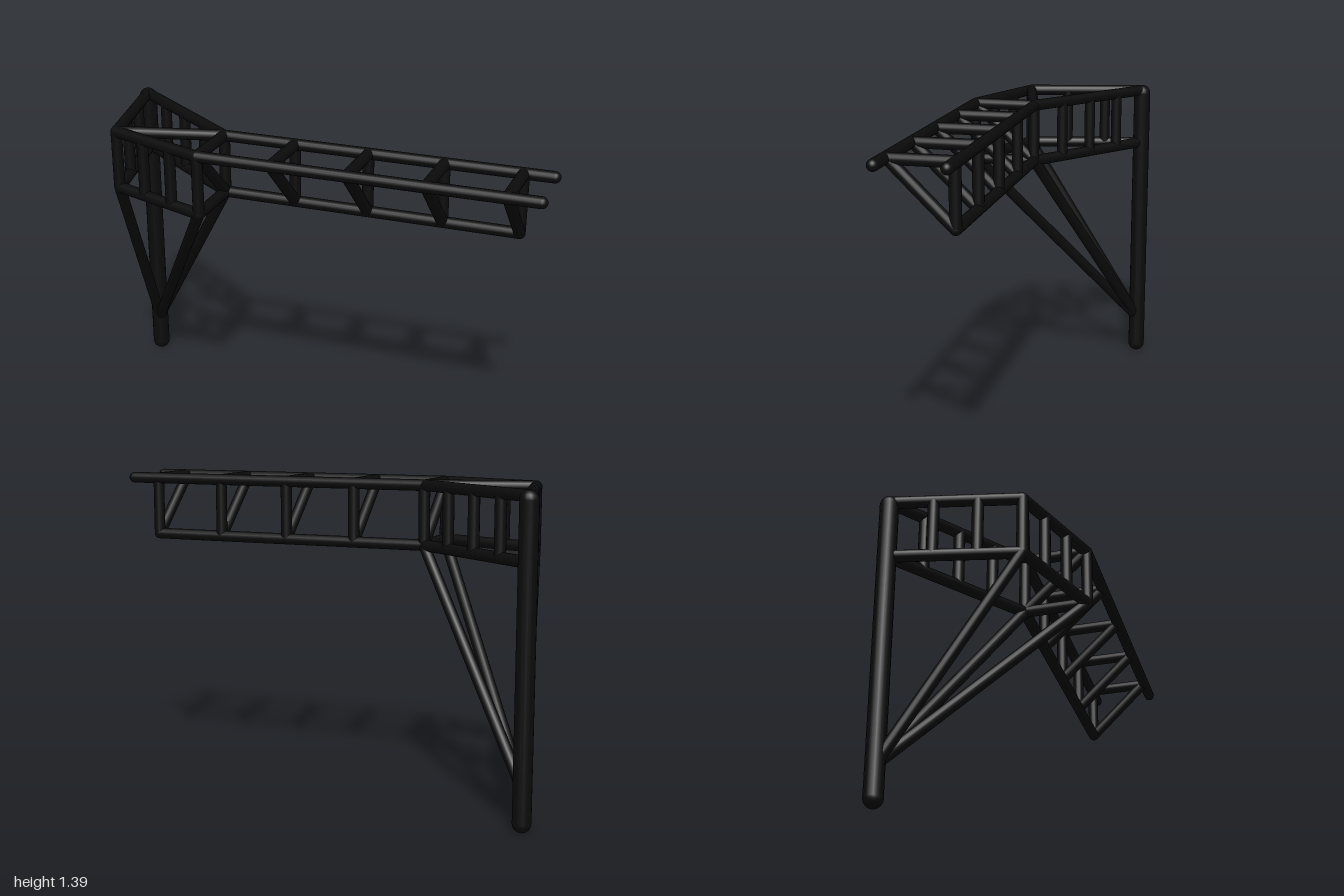
import * as THREE from 'three';

const TOP = 1.36, LOW = 1.1, R = 0.025;
const UP = new THREE.Vector3(0, 1, 0);

export function createModel() {
  const model = new THREE.Group();
  const black = new THREE.MeshStandardMaterial({ color: 0x0b0b0b });

  // Round-ended bar between two points
  function bar(name, a, b, r = R) {
    const dir = b.clone().sub(a);
    const mesh = new THREE.Mesh(new THREE.CapsuleGeometry(r, dir.length(), 6, 16), black);
    mesh.position.copy(a).add(b).multiplyScalar(0.5);
    mesh.quaternion.setFromUnitVectors(UP, dir.normalize());
    mesh.name = name;
    model.add(mesh);
  }
  // Plan points are [x, z]
  const at = (p, y) => new THREE.Vector3(p[0], y, p[1]);
  const mix = (p, q, t) => [p[0] + (q[0] - p[0]) * t, p[1] + (q[1] - p[1]) * t];
  const upright = (p) => bar('upright', at(p, LOW), at(p, TOP));

  const post = [-0.41, -0.96];
  const outer = [-0.713, -0.5];
  const near = [-0.505, -0.06], nearEnd = [0.517, 0.972];
  const far = [-0.303, -0.255], farEnd = [0.715, 0.77];
  const nearLast = [0.43, 0.87], farLast = [0.622, 0.685];

  bar('post', at(post, 0.04), at(post, 1.346), 0.04);

  // Side panels of the bracket: two chords with evenly spaced uprights
  for (const [p, q, bays] of [[post, outer, 3], [outer, near, 3], [post, far, 4]]) {
    bar('topChord', at(p, TOP), at(q, TOP));
    bar('bottomChord', at(p, LOW), at(q, LOW));
    for (let i = 1; i < bays; i++) upright(mix(p, q, i / bays));
  }
  [outer, near].forEach(upright);
  bar('crossTie', at(outer, TOP), at(far, TOP));
  bar('lowerTie', at(near, LOW), at(far, LOW));

  // Braces fanning out from the foot of the post
  for (const p of [outer, near, far]) bar('brace', at(post, 0.18), at(p, LOW));

  // Arm: two top chords over a single bottom chord
  bar('armRail', at(near, TOP), at(nearEnd, TOP));
  bar('armRail', at(far, TOP), at(farEnd, TOP));
  bar('armBottomChord', at(far, LOW), at(farLast, LOW));
  for (let i = 0; i <= 4; i++) {
    const n = mix(near, nearLast, i / 4), f = mix(far, farLast, i / 4);
    bar('rung', at(n, TOP), at(f, TOP));
    upright(f);
    bar('diagonal', at(n, TOP), at(f, LOW));
  }
  return model;
}
